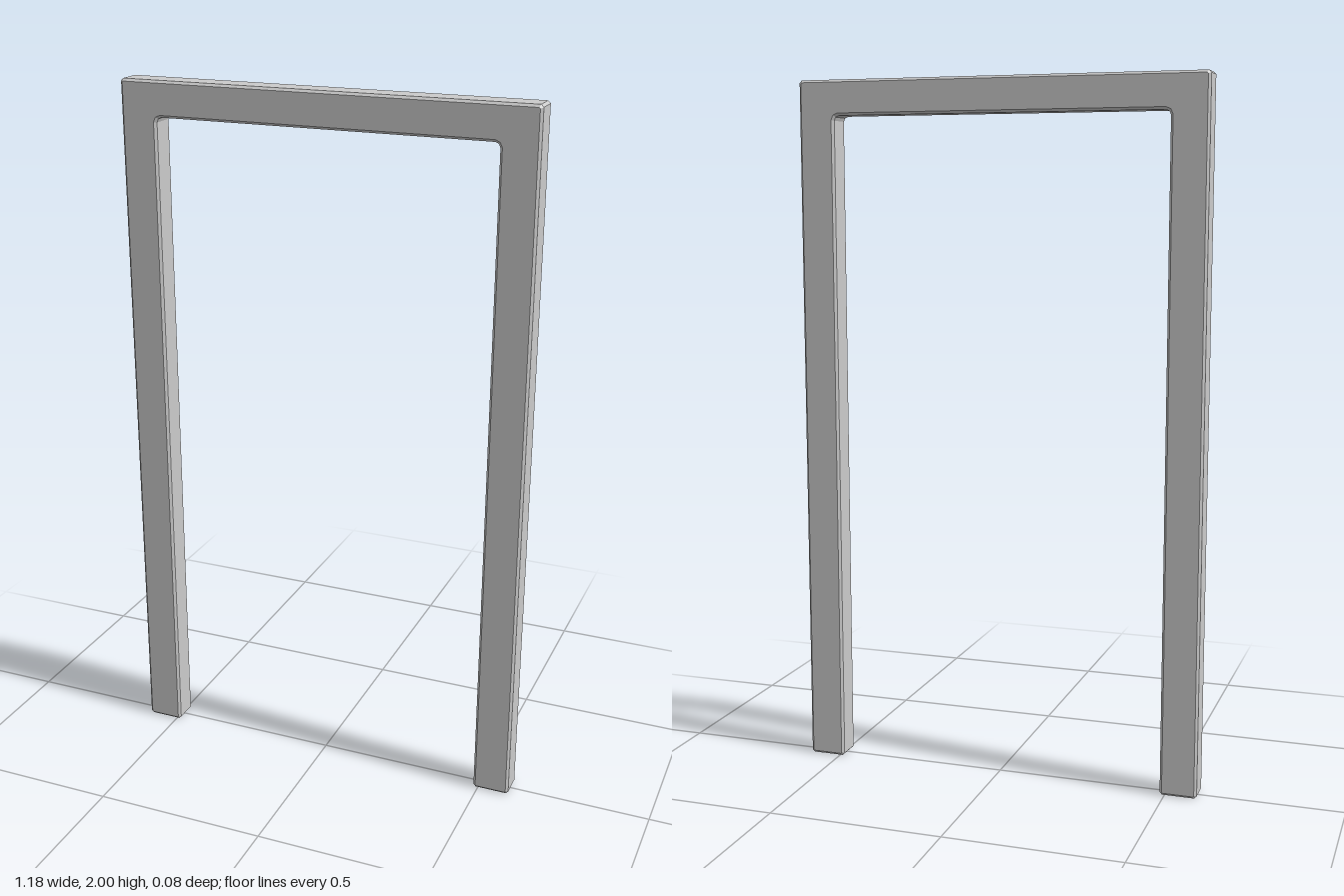
import * as THREE from 'three';

const HALF_WIDTH = 0.592, INNER = 0.486, HEIGHT = 2, BEAM_BOTTOM = 1.9, DEPTH = 0.08;
const BEVEL = 0.007, FILLET = 0.014;

export function createModel() {
  const group = new THREE.Group();
  group.name = 'doorFrame';

  // Right half of the outline from top to inner corner, with small chamfers
  const half = [
    [HALF_WIDTH - BEVEL, HEIGHT],
    [HALF_WIDTH, HEIGHT - BEVEL],
    [HALF_WIDTH, BEVEL],
    [HALF_WIDTH - BEVEL, 0],
    [INNER + BEVEL, 0],
    [INNER, BEVEL],
    [INNER, BEAM_BOTTOM - FILLET],
    [INNER - FILLET * 0.3, BEAM_BOTTOM - FILLET * 0.3],
    [INNER - FILLET, BEAM_BOTTOM],
  ];
  const mirrored = half.map(([x, y]) => [-x, y]).reverse();
  const outline = [...half, ...mirrored].map(([x, y]) => new THREE.Vector2(x, y));

  // Two legs and the crossbar as one bevelled arch
  const geometry = new THREE.ExtrudeGeometry(new THREE.Shape(outline), {
    depth: DEPTH - 2 * BEVEL,
    bevelEnabled: true,
    bevelSegments: 1,
    bevelSize: BEVEL,
    bevelThickness: BEVEL,
    bevelOffset: -BEVEL,
  });
  geometry.translate(0, 0, BEVEL - DEPTH / 2);

  const frame = new THREE.Mesh(geometry, new THREE.MeshStandardMaterial({ color: 0xcccccc }));
  frame.name = 'legsAndCrossbar';
  group.add(frame);
  return group;
}
